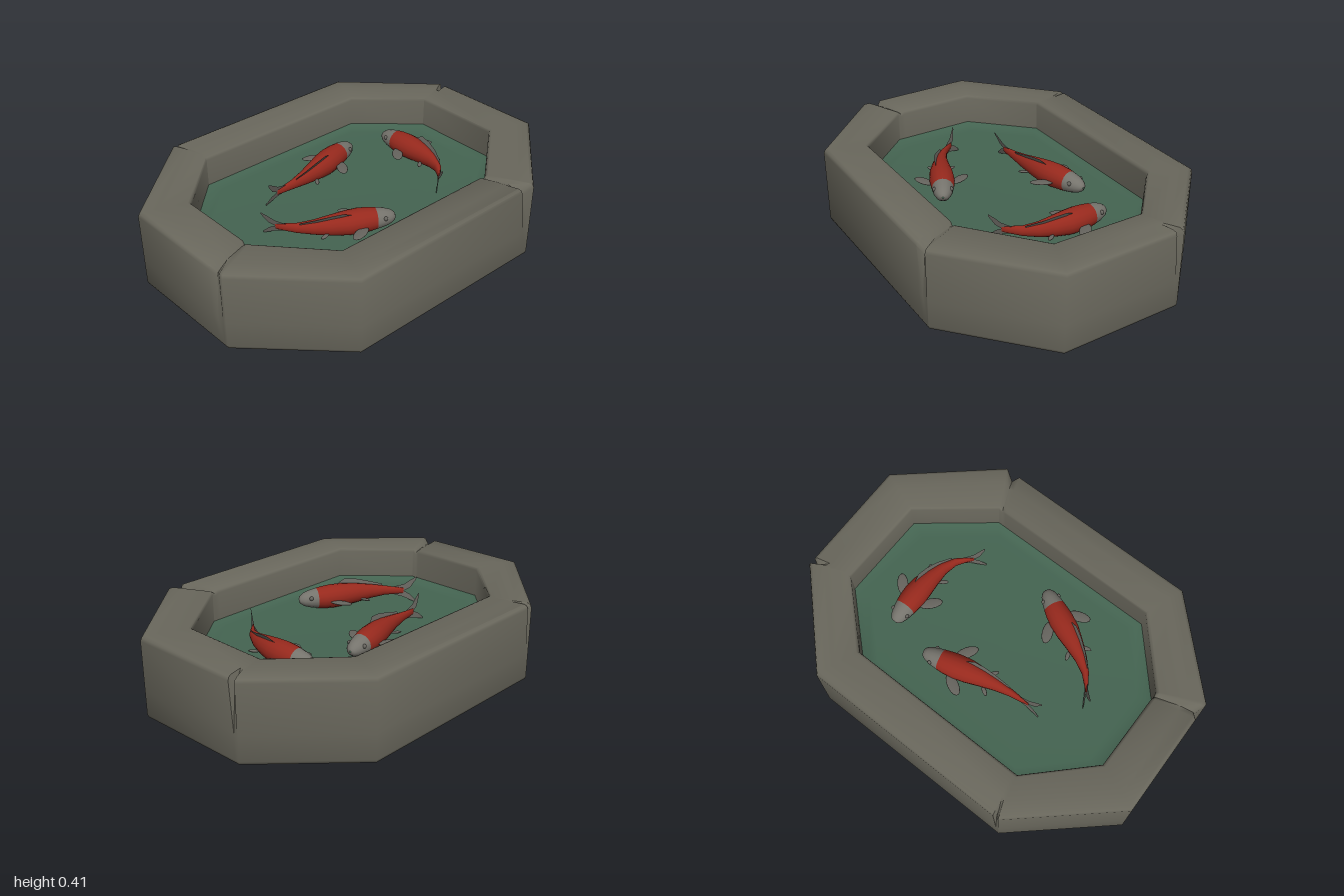
import * as THREE from 'three';
import { toCreasedNormals } from 'three/addons/utils/BufferGeometryUtils.js';

const mat = (name, color, side = THREE.FrontSide) => {
  const m = new THREE.MeshStandardMaterial({ color, side });
  m.name = name;
  return m;
};
const V = (x, y, z) => new THREE.Vector3(x, y, z);

// Skin a list of closed rings (equal point counts)
function loft(rings) {
  const n = rings[0].length, idx = [];
  for (let r = 0; r < rings.length - 1; r++) {
    for (let i = 0; i < n; i++) {
      const a = r * n + i, b = r * n + (i + 1) % n;
      idx.push(a, b, a + n, b, b + n, a + n);
    }
  }
  const g = new THREE.BufferGeometry().setFromPoints(rings.flat());
  g.setIndex(idx);
  g.computeVertexNormals();
  return g;
}

// Octagonal plan corners [x, z]
const OUTER = [[-0.315, -0.98], [0.315, -1], [0.722, -0.545], [0.722, 0.56],
  [0.315, 0.98], [-0.315, 1], [-0.725, 0.55], [-0.725, -0.56]];
const INNER = [[-0.24, -0.77], [0.23, -0.775], [0.51, -0.43], [0.51, 0.485],
  [0.21, 0.76], [-0.225, 0.77], [-0.51, 0.49], [-0.51, -0.475]];

// Cracks: edge, place along it, half width, depth at outer and inner side
const CRACKS = [
  { edge: 0, f: 0.035, w: 0.03, outer: 0.03, inner: 0 },
  { edge: 2, f: 0.04, w: 0.035, outer: 0.035, inner: 0.012 },
  { edge: 4, f: 0.09, w: 0.06, outer: 0.03, inner: 0.012 },
  { edge: 6, f: 0.015, w: 0.013, outer: 0.02, inner: 0 },
];

function stations() {
  const list = [];
  for (let e = 0; e < 8; e++) {
    const at = (f, dOut = 0, dIn = 0) => {
      const mix = (c, t) => new THREE.Vector2(...c[e]).lerp(new THREE.Vector2(...c[(e + 1) % 8]), t);
      list.push({ out: mix(OUTER, f), inn: mix(INNER, f * 0.6), dOut, dIn });
    };
    at(0);
    for (const c of CRACKS.filter((k) => k.edge === e)) {
      at(c.f - c.w);
      at(c.f, c.outer, c.inner);
      at(c.f + c.w);
    }
  }
  return list.reverse();
}

// Stone wall profile: [from inner side?, inset, height, outer crack, inner crack]
const PROFILE = [
  [0, 0.018, 0, 0, 0], [0, 0.005, 0.006, 0, 0], [0, 0, 0.02, 0, 0], [0, 0, 0.15, 0, 0],
  [0, 0, 0.392, 1, 0], [0, 0.006, 0.408, 1, 0], [0, 0.022, 0.415, 1, 0], [0, 0.09, 0.415, 0, 1],
  [1, 0.016, 0.415, 0, 1], [1, 0.005, 0.411, 0, 1], [1, 0, 0.398, 0, 1], [1, 0, 0.2, 0, 0],
];

function basin(stone) {
  const st = stations();
  const rings = PROFILE.map(([inner, inset, y, kOut, kIn]) => st.map((s) => {
    const across = s.inn.clone().sub(s.out).normalize();
    const d = s.dOut * kOut + s.dIn * kIn;
    const p = inner ? s.inn.clone().addScaledVector(across, -inset - d * 0.3)
      : s.out.clone().addScaledVector(across, inset + d * 0.8);
    return V(p.x, y - d, p.y);
  }));
  rings.unshift(st.map(() => V(0, 0, 0)));
  const mesh = new THREE.Mesh(toCreasedNormals(loft(rings), 1), stone);
  mesh.name = 'stoneBasin';
  return mesh;
}

// Water sheet, turned up slightly where it meets the wall
function pool(water) {
  const plan = [...INNER].reverse();
  const rings = [[1, 0.255], [0.96, 0.243], [0.9, 0.236], [0.5, 0.233], [0, 0.233]]
    .map(([s, y]) => plan.map(([x, z]) => V(x * s, y, z * s)));
  const mesh = new THREE.Mesh(loft(rings), water);
  mesh.name = 'water';
  return mesh;
}

// Body sections: [place along the spine, half width, half height]
const BODY = [[0, 0.004, 0.004], [0.01, 0.022, 0.02], [0.04, 0.036, 0.034], [0.09, 0.047, 0.045],
  [0.15, 0.054, 0.053], [0.2, 0.059, 0.058], [0.28, 0.063, 0.062], [0.38, 0.06, 0.06],
  [0.5, 0.046, 0.051], [0.62, 0.031, 0.038], [0.74, 0.018, 0.026], [0.84, 0.01, 0.019],
  [0.9, 0.003, 0.016]];
const HEAD_END = 4, FISH_Y = 0.29;

function koi(points, m) {
  const fish = new THREE.Group();
  fish.name = 'koi';
  const spine = new THREE.CatmullRomCurve3(points.map(([x, z]) => V(x, FISH_Y, z)));
  const up = V(0, 1, 0);
  // Point at t along the spine, offset sideways and upwards
  const at = (t, s, h) => {
    const side = up.clone().cross(spine.getTangentAt(t));
    return spine.getPointAt(t).addScaledVector(side, s).addScaledVector(up, h);
  };
  const add = (name, geo, material) => {
    const mesh = new THREE.Mesh(geo, material);
    mesh.name = name;
    fish.add(mesh);
    return mesh;
  };

  // Body with pale head and red back
  const N = 16;
  const body = loft(BODY.map(([t, w, h]) => Array.from({ length: N }, (_, i) => {
    const a = (i / N) * Math.PI * 2;
    return at(t, w * Math.cos(a), h * Math.sin(a));
  })));
  const split = HEAD_END * N * 6;
  body.addGroup(0, split, 0);
  body.addGroup(split, body.index.count - split, 1);
  add('body', body, [m.pale, m.red]);

  // Thin leaning fins: rows of [t, low, high]
  const strip = (name, lean, rows) => {
    const g = new THREE.BufferGeometry().setFromPoints(
      rows.flatMap(([t, lo, hi]) => [at(t, lo * lean, lo), at(t, hi * lean, hi)]));
    g.setIndex(rows.slice(1).flatMap((_, i) => {
      const k = i * 2;
      return [k, k + 2, k + 1, k + 1, k + 2, k + 3];
    }));
    g.computeVertexNormals();
    add(name, g, m.fin);
  };
  strip('dorsalFin', 0.45, [[0.35, 0.048, 0.056], [0.41, 0.045, 0.074], [0.5, 0.038, 0.068],
    [0.6, 0.028, 0.052], [0.72, 0.016, 0.032]]);
  strip('upperTail', 0.22, [[0.82, 0, 0.021], [0.9, 0, 0.035], [0.95, 0.018, 0.058], [1, 0.065, 0.078]]);
  strip('lowerTail', 0.22, [[0.82, -0.021, 0], [0.9, -0.032, 0], [0.95, -0.045, -0.015], [1, -0.056, -0.045]]);

  // Paired fins and eyes
  for (const s of [-1, 1]) {
    const paddle = (name, t, out, h, length, width) => {
      const fin = add(name, new THREE.SphereGeometry(1, 14, 8), m.fin);
      fin.scale.set(width, 0.006, length);
      fin.position.copy(at(t, s * out, h));
      const dir = spine.getTangentAt(t);
      fin.rotation.y = Math.atan2(dir.x, dir.z) + s * 0.75;
    };
    paddle('pectoralFin', 0.31, 0.09, -0.01, 0.06, 0.028);
    paddle('pelvicFin', 0.55, 0.05, -0.025, 0.028, 0.011);
    const eye = add('eye', new THREE.SphereGeometry(0.011, 10, 8), m.fin);
    eye.position.copy(at(0.09, s * 0.041, 0.016));
  }
  return fish;
}

export function createModel() {
  const stone = mat('stone', 0x69675c);
  const water = mat('pond green', 0x446451);
  const m = {
    pale: mat('pale scale', 0x76746d),
    red: mat('koi red', 0x97291d),
    fin: mat('fin grey', 0x66645e, THREE.DoubleSide),
  };
  const model = new THREE.Group();
  model.name = 'koiPond';
  model.add(basin(stone), pool(water));
  // Spines from nose to tail
  const spines = [
    [[-0.26, -0.485], [-0.12, -0.495], [0.02, -0.495], [0.17, -0.46], [0.295, -0.345]],
    [[-0.29, -0.27], [-0.26, -0.13], [-0.225, 0], [-0.195, 0.16], [-0.18, 0.37]],
    [[0.345, 0.005], [0.28, 0.13], [0.215, 0.27], [0.12, 0.42], [-0.015, 0.525]],
  ];
  for (const s of spines) model.add(koi(s, m));
  return model;
}
